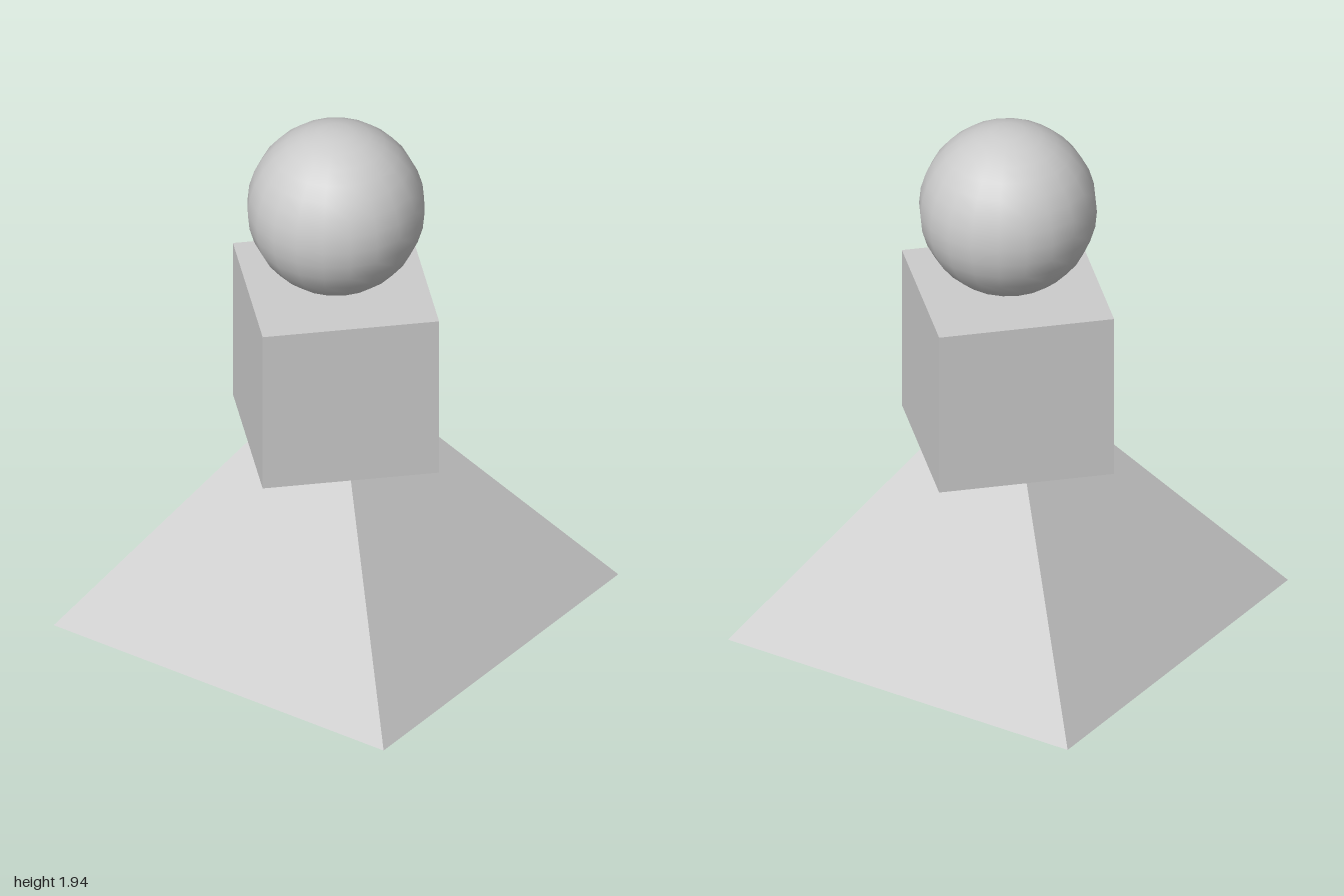
import * as THREE from 'three';

export function createModel() {
  const group = new THREE.Group();
  const unit = 0.625; // edge of the cube and diameter of the ball

  const add = (name, geometry, y, flatShading) => {
    const material = new THREE.MeshStandardMaterial({ color: 0xcccccc, flatShading });
    const mesh = new THREE.Mesh(geometry, material);
    mesh.name = name;
    mesh.position.y = y;
    group.add(mesh);
  };

  // Four-sided pyramid, corners on the axes, tip hidden at the cube's centre
  add('pyramidBase', new THREE.ConeGeometry(1, 1, 4), 0.5, true);

  // Cube body centred on the pyramid's tip
  add('cubeBody', new THREE.BoxGeometry(unit, unit, unit), 1, true);

  // Smooth ball resting on the cube
  add('ballTop', new THREE.SphereGeometry(unit / 2, 20, 16), 1 + unit, false);

  return group;
}
